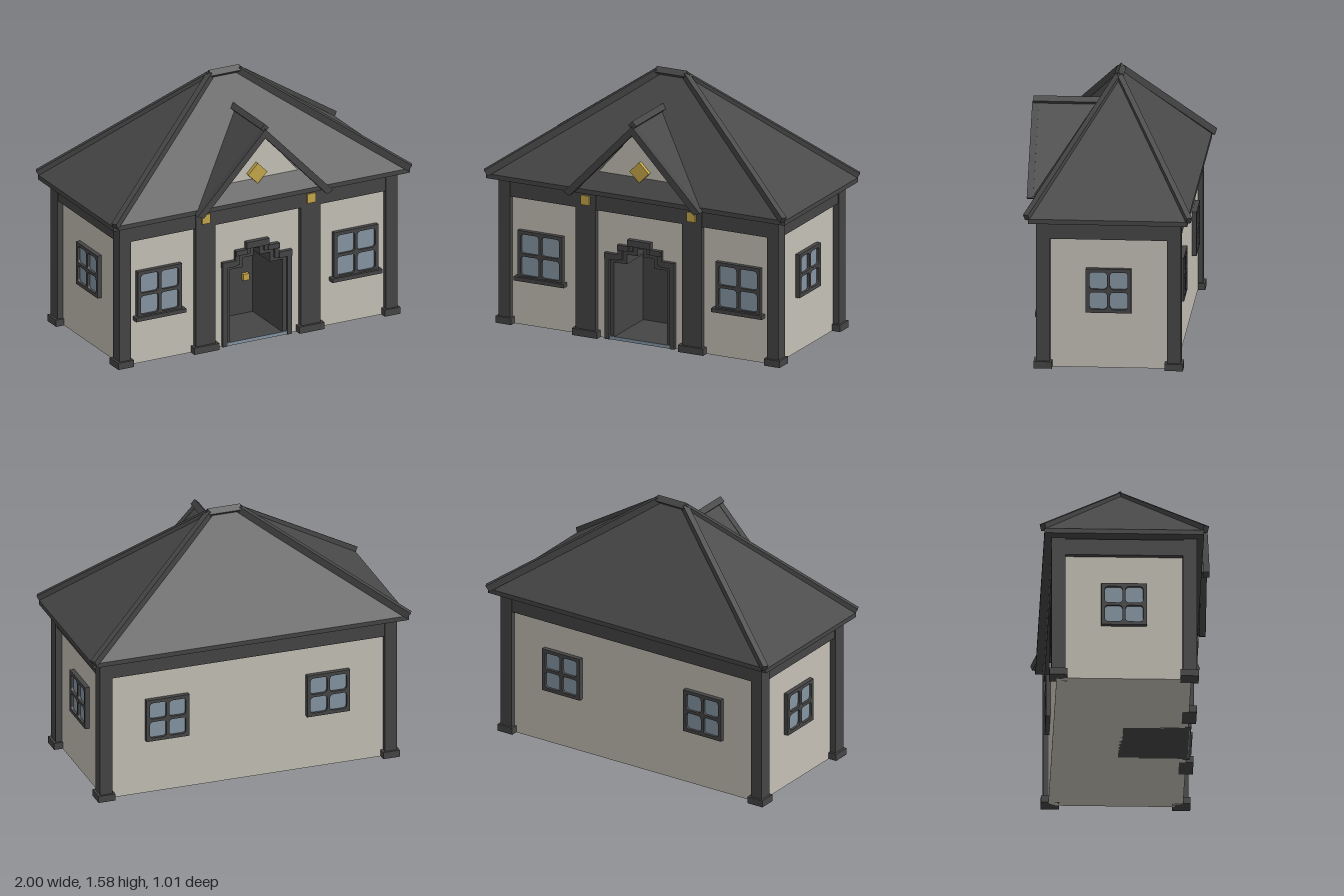
import * as THREE from 'three';

const ZC = -0.015; // centre line of the house in z

export function createModel() {
  const house = new THREE.Group();
  house.name = 'house';

  const mat = (name, color, side = THREE.FrontSide) => {
    const m = new THREE.MeshStandardMaterial({ color, side });
    m.name = name;
    return m;
  };
  const plaster = mat('plaster', 0xc4c0b6);
  const trim = mat('darkTrim', 0x454545);
  const roofing = mat('roofing', 0x494949);
  const glass = mat('glass', 0x8595a3);
  const gold = mat('gold', 0xc4a648);

  const add = (name, geo, material, parent = house) => {
    const m = new THREE.Mesh(geo, material);
    m.name = name;
    parent.add(m);
    return m;
  };
  // Box given by its limits on each axis
  const box = (name, material, x0, x1, y0, y1, z0, z1, parent = house) => {
    const m = add(name, new THREE.BoxGeometry(x1 - x0, y1 - y0, z1 - z0), material, parent);
    m.position.set((x0 + x1) / 2, (y0 + y1) / 2, (z0 + z1) / 2);
    return m;
  };
  // Square bar between two points
  const bar = (name, material, a, b, w, h, roll = 0) => {
    const m = add(name, new THREE.BoxGeometry(w, h, a.distanceTo(b)), material);
    m.position.copy(a).add(b).multiplyScalar(0.5);
    m.lookAt(b);
    m.rotateZ(roll);
    return m;
  };
  const V = (x, y, z) => new THREE.Vector3(x, y, z);
  const extrude = (points, z0, z1) => {
    const shape = new THREE.Shape(points.map(([x, y]) => new THREE.Vector2(x, y)));
    return new THREE.ExtrudeGeometry(shape, { depth: z1 - z0, bevelEnabled: false }).translate(0, 0, z0);
  };

  // Stepped doorway outline, inset by d, from the right foot over to the left foot
  const doorway = (d) => {
    const right = [[0.23, 0], [0.23, 0.53], [0.145, 0.53], [0.145, 0.59], [0.075, 0.59], [0.075, 0.635]]
      .map(([x, y]) => [x - d, y ? y - d : 0]);
    return [...right, ...right.map(([x, y]) => [-x, y]).reverse()];
  };

  // Walls, with a deep notch for the entrance
  box('rearWalls', plaster, -0.885, 0.885, 0, 0.9, -0.41, 0);
  add('frontWalls', extrude([[0.885, 0], [0.885, 0.9], [-0.885, 0.9], [-0.885, 0],
    ...doorway(0.025).reverse()], 0, 0.38), plaster);

  // Entrance: surround, lining, floor and door
  const ring = (outer, inner, z0, z1) =>
    extrude([...doorway(outer), ...doorway(inner).reverse()], z0, z1);
  add('doorSurround', ring(0, 0.03, 0.36, 0.4), trim);
  add('entranceLining', ring(0.015, 0.055, 0.0, 0.385), trim);
  box('doorwayKeyBlock', trim, -0.075, 0.075, 0.595, 0.635, 0.36, 0.41);
  for (const s of [-1, 1]) {
    box('doorwayStepBlock', trim, s * 0.107 - 0.037, s * 0.107 + 0.037, 0.56, 0.592, 0.36, 0.408);
    box('doorwayCapital', trim, s * 0.187 - 0.044, s * 0.187 + 0.044, 0.495, 0.532, 0.36, 0.405);
  }
  box('entranceFloor', trim, -0.205, 0.205, 0, 0.015, -0.02, 0.388);
  box('threshold', glass, -0.2, 0.2, 0, 0.02, 0.388, 0.395);
  box('door', trim, -0.18, 0.18, 0.01, 0.6, 0, 0.015);
  box('doorKnob', gold, 0.1, 0.14, 0.23, 0.27, 0.015, 0.04);

  // Corner posts and front pilasters with their bases
  for (const s of [-1, 1]) {
    for (const t of [-1, 1]) {
      const x = s * 0.886, z = ZC + t * 0.385;
      box('cornerPost', trim, x - 0.038, x + 0.038, 0, 0.89, z - 0.041, z + 0.041);
      box('cornerBase', trim, x - 0.052, x + 0.052, 0, 0.042, z - 0.054, z + 0.054);
    }
    const x = s * 0.35;
    box('pilaster', trim, x - 0.065, x + 0.065, 0, 0.89, 0.35, 0.41);
    box('pilasterBase', trim, x - 0.083, x + 0.083, 0, 0.042, 0.34, 0.425);
    box('goldBlock', gold, x - 0.028, x + 0.028, 0.81, 0.868, 0.4, 0.42);
    // Beams below the eaves on the ends
    box('endBeam', trim, s * 0.895 - 0.022, s * 0.895 + 0.022, 0.785, 0.885, -0.42, 0.39);
  }
  box('frontBeam', trim, -0.915, 0.915, 0.785, 0.885, 0.36, 0.405);
  box('backBeam', trim, -0.915, 0.915, 0.785, 0.885, -0.435, -0.39);

  // Four-pane window facing +z with rounded panes
  const makeWindow = (name, w, h, x, y, z, turn, sill) => {
    const g = new THREE.Group();
    g.name = name;
    const rect = new THREE.Shape([[-1, -1], [1, -1], [1, 1], [-1, 1]]
      .map(([a, b]) => new THREE.Vector2(a * w / 2, b * h / 2)));
    const pw = w / 2 - 0.03, ph = h / 2 - 0.03, r = 0.02;
    for (const a of [-1, 1]) for (const b of [-1, 1]) {
      const cx = a * (0.009 + pw / 2), cy = b * (0.009 + ph / 2);
      const hole = new THREE.Path();
      [[1, 1, 0], [-1, 1, 1], [-1, -1, 2], [1, -1, 3]].forEach(([p, q, k]) =>
        hole.absarc(cx + p * (pw / 2 - r), cy + q * (ph / 2 - r), r, k * Math.PI / 2, (k + 1) * Math.PI / 2));
      hole.closePath();
      rect.holes.push(hole);
    }
    add('windowFrame', new THREE.ExtrudeGeometry(rect, { depth: 0.028, bevelEnabled: false, curveSegments: 4 }), trim, g);
    box('windowGlass', glass, -w / 2 + 0.01, w / 2 - 0.01, -h / 2 + 0.01, h / 2 - 0.01, 0.004, 0.012, g);
    if (sill) box('windowSill', trim, -0.166, 0.166, -h / 2 - 0.012, -h / 2 + 0.012, 0, 0.045, g);
    g.position.set(x, y, z);
    g.rotation.y = turn;
    house.add(g);
  };
  for (const s of [-1, 1]) {
    makeWindow('frontWindow', 0.295, 0.295, s * 0.653, 0.438, 0.38, 0, true);
    makeWindow('backWindow', 0.267, 0.267, s * 0.5, 0.472, -0.41, Math.PI, false);
    makeWindow('endWindow', 0.267, 0.267, s * 0.885, 0.472, ZC, s * Math.PI / 2, false);
  }

  // Hipped main roof
  const ex = 0.985, ez = 0.468, ey = 0.92, ry = 1.55, rx = 0.1;
  const A = [-ex, ey, ZC + ez], B = [ex, ey, ZC + ez], C = [ex, ey, ZC - ez], D = [-ex, ey, ZC - ez];
  const E = [-rx, ry, ZC], F = [rx, ry, ZC];
  const roofGeo = new THREE.BufferGeometry();
  roofGeo.setAttribute('position', new THREE.Float32BufferAttribute(
    [A, B, F, A, F, E, B, C, F, C, D, E, C, E, F, D, A, E].flat(), 3));
  roofGeo.computeVertexNormals();
  add('mainRoof', roofGeo, roofing);
  box('eaves', trim, -ex, ex, 0.892, ey, ZC - ez, ZC + ez);
  for (const s of [-1, 1]) for (const t of [-1, 1]) {
    bar('hipBar', trim, V(s * rx * 0.9, ry, ZC), V(s * 0.982, 0.928, ZC + t * 0.477), 0.034, 0.042);
  }
  bar('ridgeCap', trim, V(-rx, 1.552, ZC), V(rx, 1.552, ZC), 0.04, 0.04, Math.PI / 4);

  // Front gable: roof, ridge, rake boards and plaster infill
  add('gableRoof', extrude([[0, 1.365], [-0.445, 0.9], [-0.42, 0.9], [0, 1.338], [0.42, 0.9], [0.445, 0.9]],
    0.1, 0.475), roofing);
  bar('gableRidge', trim, V(0, 1.372, 0.1), V(0, 1.372, 0.492), 0.038, 0.038, Math.PI / 4);
  for (const s of [-1, 1]) {
    const rake = [[0, 1.368], [0, 1.312], [s * 0.41, 0.882], [s * 0.45, 0.9]];
    add('rakeBoard', extrude(s > 0 ? rake : rake.reverse(), 0.462, 0.5), trim);
  }
  add('gableInfill', extrude([[-0.34, 0.95], [0.34, 0.95], [0, 1.335]], 0.35, 0.38), plaster);
  const diamond = add('goldDiamond', new THREE.BoxGeometry(0.09, 0.09, 0.025), gold);
  diamond.position.set(0, 1.057, 0.392);
  diamond.rotation.z = Math.PI / 4;

  return house;
}
